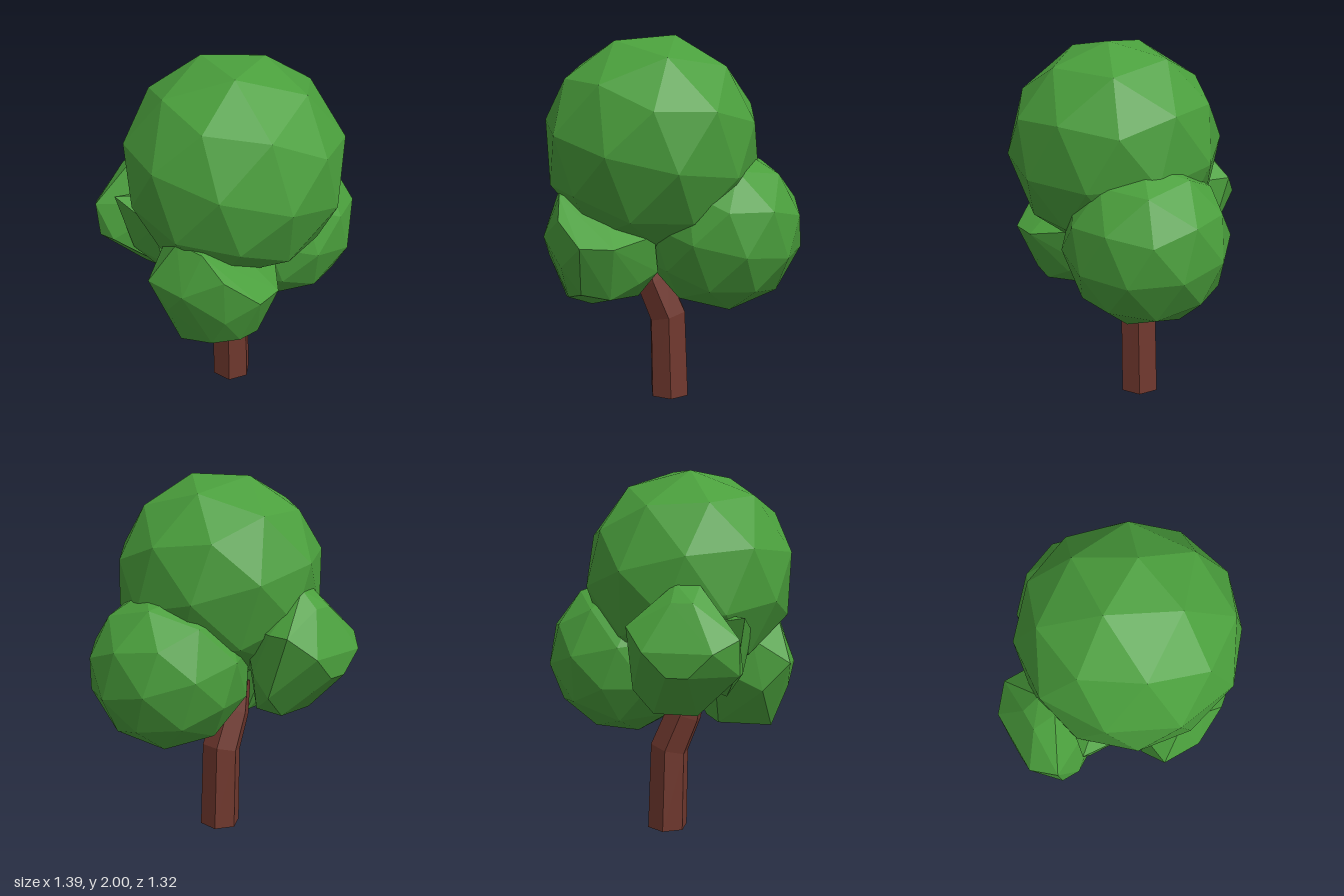
import * as THREE from 'three';
import { ConvexGeometry } from 'three/addons/geometries/ConvexGeometry.js';

const leaf = new THREE.MeshStandardMaterial({ color: 0x4a9f3c, flatShading: true });
const bark = new THREE.MeshStandardMaterial({ color: 0x70382e, flatShading: true, side: THREE.DoubleSide });

function addPart(group, name, geometry, material) {
  const mesh = new THREE.Mesh(geometry, material);
  mesh.name = name;
  group.add(mesh);
  return mesh;
}

// Rotation frame with one axis along a and a second leaning towards b
function frame(a, b) {
  const x = a.clone().normalize();
  const z = x.clone().cross(b).normalize();
  return new THREE.Matrix4().makeBasis(x, z.clone().cross(x), z);
}

// Tilt shared by the balls: a five-way corner near the top, one edge running backwards
const golden = (1 + Math.sqrt(5)) / 2;
const ballTilt = frame(new THREE.Vector3(0.203, 0.966, 0.169), new THREE.Vector3(-0.05, 0.96, -0.27))
  .multiply(frame(new THREE.Vector3(-1, golden, 0), new THREE.Vector3(0, 1, 0)).transpose());

// Faceted ball of leaves
function addBall(group, name, radius, position) {
  const geometry = new THREE.IcosahedronGeometry(radius, 1).applyMatrix4(ballTilt);
  addPart(group, name, geometry, leaf).position.set(...position);
}

// Irregular chunky clump of leaves spanned by its corners
function addClump(group, name, corners) {
  const points = corners.map((c) => new THREE.Vector3(...c));
  addPart(group, name, new ConvexGeometry(points), leaf);
}

// Open six-sided trunk whose rings follow a bent centre line
function trunkGeometry() {
  const rings = [ // centre x, y, radius, tilt of the ring
    [-0.018, 0, 0.115, 0],
    [-0.03, 0.465, 0.112, 0.25],
    [-0.115, 0.67, 0.105, 0.4],
    [-0.16, 0.85, 0.08, 0.3],
  ];
  const geometry = new THREE.CylinderGeometry(1, 1, 3, 6, 3, true);
  const pos = geometry.attributes.position;
  for (let i = 0; i < pos.count; i++) {
    const [cx, cy, r, tilt] = rings[Math.round(pos.getY(i) + 1.5)];
    const x = pos.getX(i) * r;
    pos.setXYZ(i, cx + x * Math.cos(tilt), cy + x * Math.sin(tilt), pos.getZ(i) * r);
  }
  geometry.computeVertexNormals();
  return geometry;
}

export function createModel() {
  const tree = new THREE.Group();
  tree.name = 'tree';

  addPart(tree, 'trunk', trunkGeometry(), bark);

  addBall(tree, 'crown', 0.587, [-0.12, 1.433, 0.098]);
  addBall(tree, 'leftFoliage', 0.448, [0.255, 0.973, 0.115]);

  addClump(tree, 'rightFoliage', [
    [-0.59, 0.6, 0.1], [-0.45, 0.58, 0.2], [-0.2, 0.62, 0.2], [-0.3, 0.61, 0.05],
    [-0.57, 0.64, 0.29], [-0.5, 0.68, 0.42], [-0.35, 0.65, 0.42], [-0.6, 0.82, 0.4],
    [-0.5, 0.94, 0.54], [-0.33, 0.93, 0.53], [-0.12, 0.97, 0.36], [-0.2, 0.72, 0.36],
    [-0.1, 0.77, 0.3], [-0.7, 0.97, -0.01], [-0.7, 0.95, 0.21], [-0.68, 0.83, 0.1],
    [-0.62, 1.19, 0.12], [-0.61, 1.17, 0.27], [-0.61, 1.06, 0.4], [-0.4, 1.2, 0.2],
    [-0.5, 1.1, -0.06], [-0.3, 0.95, -0.1], [-0.56, 0.82, -0.06],
  ]);

  // Back foliage: a main clump with a smaller lobe beside it
  addClump(tree, 'backFoliage', [
    [0.06, 1.21, -0.55], [0.06, 1.21, -0.43], [0.06, 0.98, -0.32], [0.06, 0.87, -0.43],
    [-0.05, 1.1, -0.66], [-0.17, 0.98, -0.66], [-0.4, 1.1, -0.66], [-0.28, 0.98, -0.66],
    [-0.28, 1.33, -0.55], [-0.17, 1.33, -0.55], [-0.17, 1.42, -0.45], [-0.29, 1.41, -0.43],
    [-0.4, 1.21, -0.55], [-0.51, 1.16, -0.55], [-0.51, 0.98, -0.53], [-0.51, 0.98, -0.43],
    [-0.4, 0.87, -0.28], [-0.28, 0.75, -0.43], [-0.05, 0.75, -0.43], [-0.05, 0.75, -0.25],
    [-0.28, 0.75, -0.25], [-0.17, 0.87, -0.12], [-0.05, 1.2, -0.15], [-0.3, 1.2, -0.15],
  ]);
  addClump(tree, 'backFoliageLobe', [
    [-0.51, 1.25, -0.4], [-0.51, 1.15, -0.13], [-0.46, 0.92, -0.12], [-0.46, 0.95, -0.33],
    [-0.38, 0.8, -0.15], [-0.25, 1.25, -0.1], [-0.25, 0.85, -0.15], [-0.25, 1.2, -0.35],
  ]);

  return tree;
}
